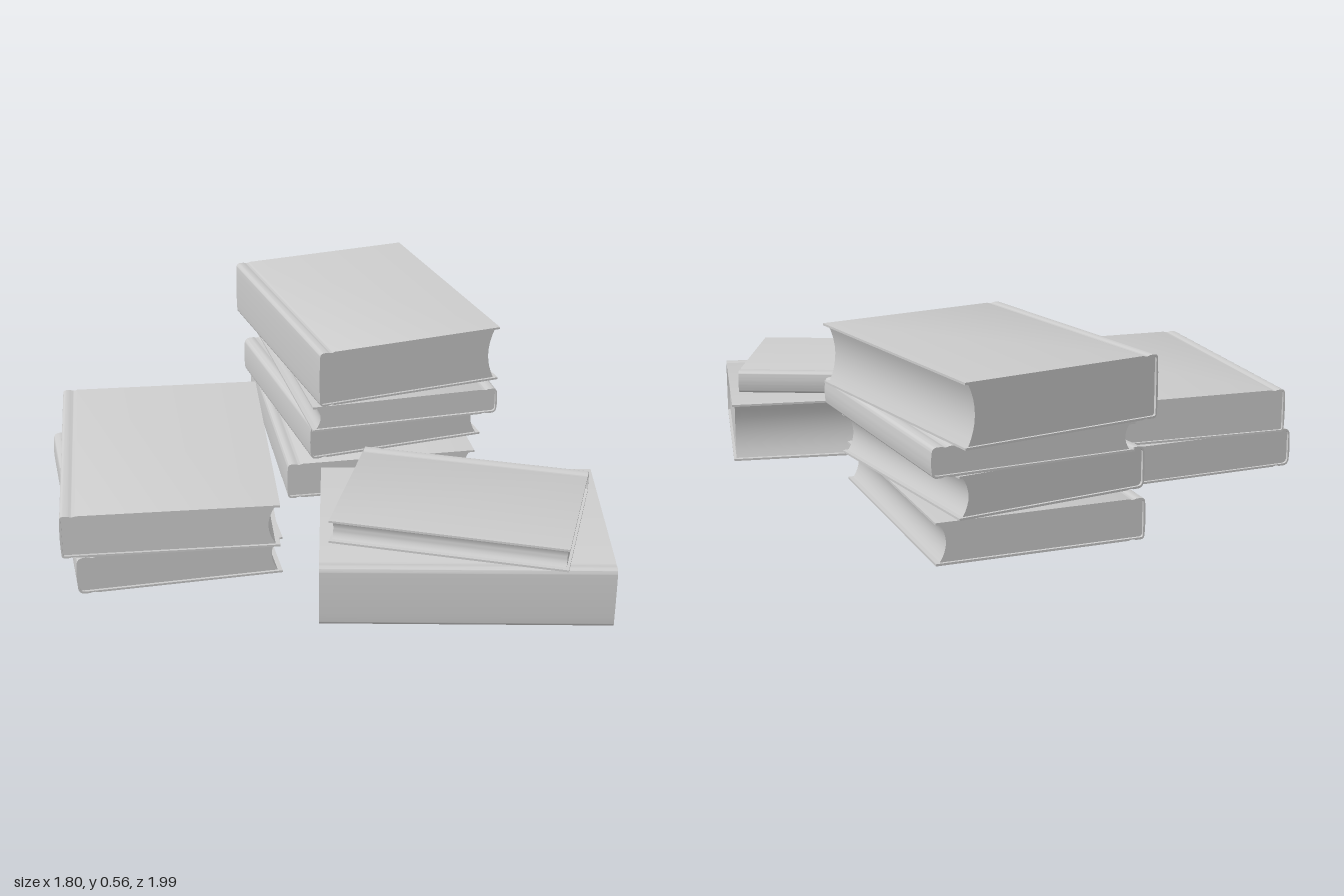
import * as THREE from 'three';
import { toCreasedNormals } from 'three/addons/utils/BufferGeometryUtils.js';

const T = 0.007; // cover board thickness
const material = new THREE.MeshStandardMaterial({ color: 0xcccccc });

// Extrudes a cross-section along z, centred, with smooth curves and sharp edges
function extrude(shape, length, name) {
  const geometry = new THREE.ExtrudeGeometry(shape, { depth: length, bevelEnabled: false, curveSegments: 8 });
  geometry.translate(0, 0, -length / 2);
  const mesh = new THREE.Mesh(toCreasedNormals(geometry, 0.6), material);
  mesh.name = name;
  return mesh;
}

// Book lying flat: spine on -x, fore edge on +x, r is the rounding of the spine
function createBook(name, w, h, l, r) {
  const book = new THREE.Group();
  book.name = name;
  const a = -w / 2, b = w / 2, groove = 0.003;
  const g0 = a + r + 0.015, g1 = g0 + 0.012, g2 = g1 + 0.012;

  // Hard cover: one C-shaped section with a hinge groove on both boards
  const cover = new THREE.Shape();
  cover.moveTo(b, 0);
  cover.lineTo(b, T);
  cover.lineTo(a + r, T);
  cover.quadraticCurveTo(a + T, T, a + T, r);
  cover.lineTo(a + T, h - r);
  cover.quadraticCurveTo(a + T, h - T, a + r, h - T);
  cover.lineTo(b, h - T);
  cover.lineTo(b, h);
  cover.lineTo(g2, h);
  cover.quadraticCurveTo(g1, h - groove * 2, g0, h);
  cover.lineTo(a + r, h);
  cover.quadraticCurveTo(a + 0.002, h, a + 0.002, h - r);
  cover.quadraticCurveTo(a - 0.002, h / 2, a + 0.002, r);
  cover.quadraticCurveTo(a + 0.002, 0, a + r, 0);
  cover.lineTo(g0, 0);
  cover.quadraticCurveTo(g1, groove * 2, g2, 0);
  cover.closePath();
  book.add(extrude(cover, l, 'cover'));

  // Page block with a hollow fore edge
  const p = b - 0.015, dip = Math.min(0.045, h * 0.3);
  const pages = new THREE.Shape();
  pages.moveTo(a + r, T);
  pages.lineTo(p, T);
  pages.quadraticCurveTo(p - dip, h / 2, p, h - T);
  pages.lineTo(a + r, h - T);
  pages.quadraticCurveTo(a + T, h - T, a + T, h - r);
  pages.lineTo(a + T, r);
  pages.quadraticCurveTo(a + T, T, a + r, T);
  book.add(extrude(pages, l - 0.018, 'pages'));
  return book;
}

// name, width, height, length, spine rounding, x, y, z, turn
const stacks = {
  leftStack: [
    ['lowerBook', 0.67, 0.132, 0.92, 0.026, -0.5375, 0, 0.037, 0.037],
    ['upperBook', 0.70, 0.15, 0.952, 0.014, -0.5225, 0.134, 0.05, -0.06],
  ],
  frontStack: [
    ['thickBook', 0.677, 0.203, 0.917, 0.016, 0.3875, 0, 0.574, 1.385],
    ['smallBook', 0.546, 0.079, 0.755, 0.018, 0.3875, 0.204, 0.5725, -1.986],
  ],
  backStack: [
    ['bottomBook', 0.675, 0.133, 0.915, 0.016, 0.2475, 0, -0.4725, 0],
    ['secondBook', 0.648, 0.135, 0.81, 0.024, 0.255, 0.134, -0.49, 0.152],
    ['thirdBook', 0.67, 0.094, 0.912, 0.02, 0.2975, 0.27, -0.46, Math.PI + 0.071],
    ['topBook', 0.676, 0.2, 0.916, 0.016, 0.2675, 0.365, -0.49, 0.182],
  ],
};

export function createModel() {
  const model = new THREE.Group();
  model.name = 'bookStacks';
  for (const [stackName, books] of Object.entries(stacks)) {
    const stack = new THREE.Group();
    stack.name = stackName;
    for (const [name, w, h, l, r, x, y, z, turn] of books) {
      const book = createBook(name, w, h, l, r);
      book.position.set(x, y, z);
      book.rotation.y = turn;
      stack.add(book);
    }
    model.add(stack);
  }
  return model;
}
